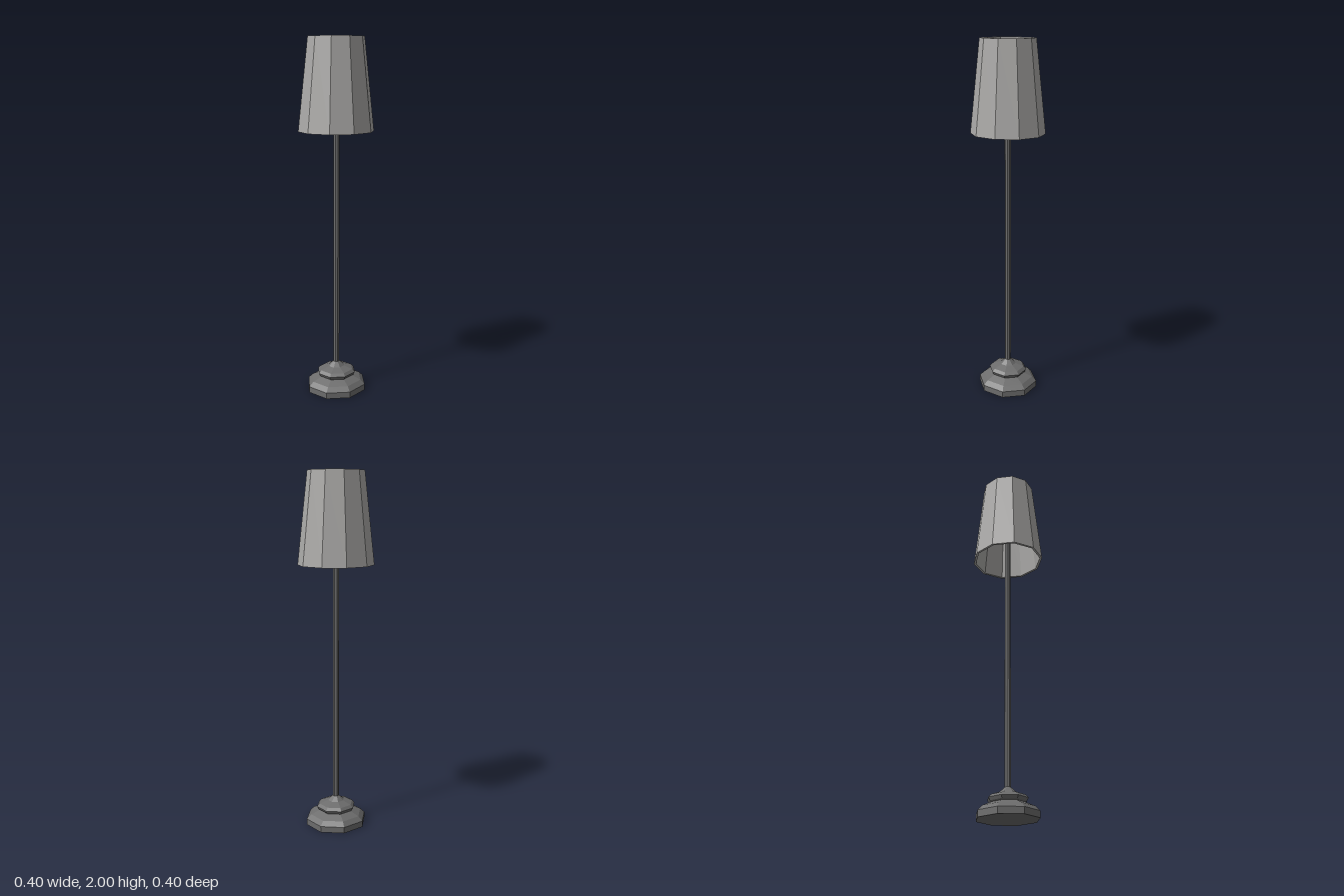
import * as THREE from 'three';

const metal = new THREE.MeshStandardMaterial({ color: 0x6c6c6c, flatShading: true });
const fabric = new THREE.MeshStandardMaterial({ color: 0xaaa9a7, flatShading: true });
const OVAL = 1.05; // every turned part is slightly wider than deep

// Faceted part turned from [radius, height] points, listed counter-clockwise
function turned(name, material, sides, profile) {
  const points = profile.map(([r, y]) => new THREE.Vector2(r, y));
  const geometry = new THREE.LatheGeometry(points, sides).scale(OVAL, 1, 1);
  const mesh = new THREE.Mesh(geometry, material);
  mesh.name = name;
  return mesh;
}

export function createModel() {
  const lamp = new THREE.Group();
  lamp.name = 'floorLamp';

  // Two-tier octagonal foot
  lamp.add(turned('base', metal, 8, [
    [0, 0], [0.167, 0], [0.167, 0.035], [0.142, 0.06], [0.092, 0.082],
    [0.1, 0.088], [0.108, 0.104], [0.093, 0.12], [0.045, 0.137], [0.017, 0.163], [0, 0.163],
  ]));

  // Slim pole rising into the shade
  lamp.add(turned('pole', metal, 8, [[0, 0.15], [0.017, 0.15], [0.017, 1.975], [0, 1.975]]));

  // Crossed bars holding the shade
  for (const [name, length, angle] of [['shadeBarX', 0.286, 0], ['shadeBarZ', 0.272, Math.PI / 2]]) {
    const bar = new THREE.Mesh(new THREE.BoxGeometry(length, 0.008, 0.006), metal);
    bar.name = name;
    bar.position.y = 1.96;
    bar.rotation.y = angle;
    lamp.add(bar);
  }

  // Hollow ten-sided shade with a thick wall
  lamp.add(turned('shade', fabric, 10, [
    [0.2, 1.5], [0.147, 2], [0.134, 2], [0.187, 1.5], [0.2, 1.5],
  ]));

  return lamp;
}
